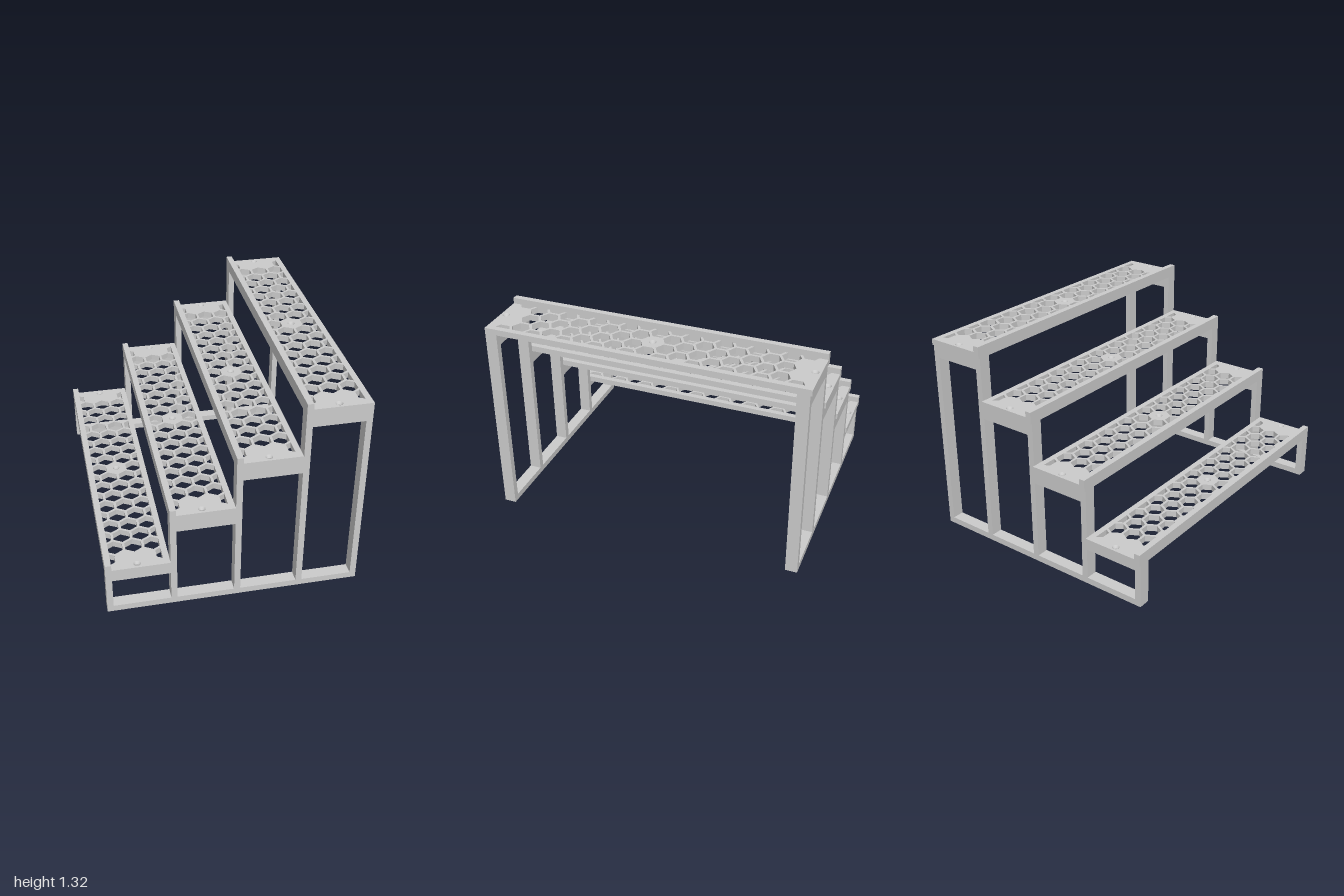
import * as THREE from 'three';

const material = new THREE.MeshStandardMaterial({ color: 0xcccccc, flatShading: true });
const smooth = new THREE.MeshStandardMaterial({ color: 0xcccccc });

const LEFT = -0.775, STEP = 0.3875, BAR = 0.038, PLATE = 0.038;
// for each step: underside of the frame's top bar, and its top where the shelf rests
const steps = [[0.237, 0.28], [0.548, 0.626], [0.857, 0.937], [1.167, 1.245]];

function part(name, geometry, x = 0, y = 0, z = 0, mat = material) {
  const mesh = new THREE.Mesh(geometry, mat);
  mesh.name = name;
  mesh.position.set(x, y, z);
  return mesh;
}

const polygon = (pts, Type = THREE.Path) => new Type(pts.map(([x, y]) => new THREE.Vector2(x, y)));
const rect = (x0, y0, x1, y1, Type) => polygon([[x0, y0], [x1, y0], [x1, y1], [x0, y1]], Type);

// Staircase-shaped side frame with one opening per step
function frameGeometry() {
  const outline = [[LEFT, 0]];
  steps.forEach(([, top], i) => {
    const x = LEFT + i * STEP;
    outline.push([x, top], [x + STEP, top]);
  });
  outline.push([LEFT + 4 * STEP, 0]);
  const shape = polygon(outline, THREE.Shape);
  steps.forEach(([under], i) => {
    const x = LEFT + i * STEP;
    const end = x + STEP - (i === 3 ? BAR : 0);
    shape.holes.push(rect(x + BAR, 0.04, end, under));
  });
  return new THREE.ExtrudeGeometry(shape, { depth: 0.075, bevelEnabled: false });
}

// Pointed-up hexagon, cut off at the sides of the perforated strip
const PITCH = 0.1155, ROW = 0.1, APOTHEM = 0.05, RADIUS = 0.0577, HALF = 0.157;
function hexHole(cx, cz) {
  const xs = [Math.max(cx - APOTHEM, -HALF)];
  if (Math.abs(cx) < HALF) xs.push(cx);
  xs.push(Math.min(cx + APOTHEM, HALF));
  const reach = (x) => RADIUS - Math.abs(x - cx) * RADIUS / (2 * APOTHEM);
  const lower = xs.map((x) => [x, cz - reach(x)]);
  const upper = xs.map((x) => [x, cz + reach(x)]).reverse();
  return polygon([...lower, ...upper]);
}

const SCREWS = [-0.965, 0, 0.965];

// Shelf plate with honeycomb holes and three screw holes
function shelfGeometry() {
  const shape = rect(-STEP / 2, -1, STEP / 2, 1, THREE.Shape);
  for (let row = -9; row <= 9; row++) {
    const odd = Math.abs(row) % 2 === 1;
    const columns = odd ? [-1.5, -0.5, 0.5, 1.5] : [-1, 0, 1];
    for (const c of columns) {
      if (row === 0 && c === 0) continue; // solid cell around the middle screw
      if (Math.abs(row) === 9 && Math.abs(c) < 1) continue; // solid ends
      shape.holes.push(hexHole(c * PITCH, row * ROW));
    }
  }
  for (const z of SCREWS) {
    shape.holes.push(new THREE.Path().absarc(0, z, 0.022, 0, Math.PI * 2));
  }
  const geometry = new THREE.ExtrudeGeometry(shape, { depth: PLATE, bevelEnabled: false, curveSegments: 12 });
  return geometry.rotateX(-Math.PI / 2);
}

// Countersunk lining of a screw hole
function countersinkGeometry() {
  const profile = [[0.022, 0], [0.011, 0], [0.011, 0.022], [0.022, PLATE]];
  return new THREE.LatheGeometry(profile.map(([r, y]) => new THREE.Vector2(r, y)), 24);
}

export function createModel() {
  const model = new THREE.Group();
  model.name = 'steppedShelfStand';

  const frame = frameGeometry();
  model.add(part('frontFrame', frame, 0, 0, 0.925), part('backFrame', frame, 0, 0, -0.99));

  const plate = shelfGeometry();
  const lip = new THREE.BoxGeometry(BAR, 0.037, 2);
  const sink = countersinkGeometry();
  const sinkMaterial = smooth.clone();
  sinkMaterial.side = THREE.DoubleSide;
  sinkMaterial.flatShading = true;

  steps.forEach(([, top], i) => {
    const shelf = new THREE.Group();
    shelf.name = 'shelf' + (i + 1);
    shelf.position.set(LEFT + (i + 0.5) * STEP, top, 0);
    shelf.add(part('perforatedPlate', plate));
    shelf.add(part('edgeLip', lip, -STEP / 2 + BAR / 2, PLATE + 0.0185, 0));
    for (const z of SCREWS) shelf.add(part('screwHole', sink, 0, 0, z, sinkMaterial));
    model.add(shelf);
  });
  return model;
}
